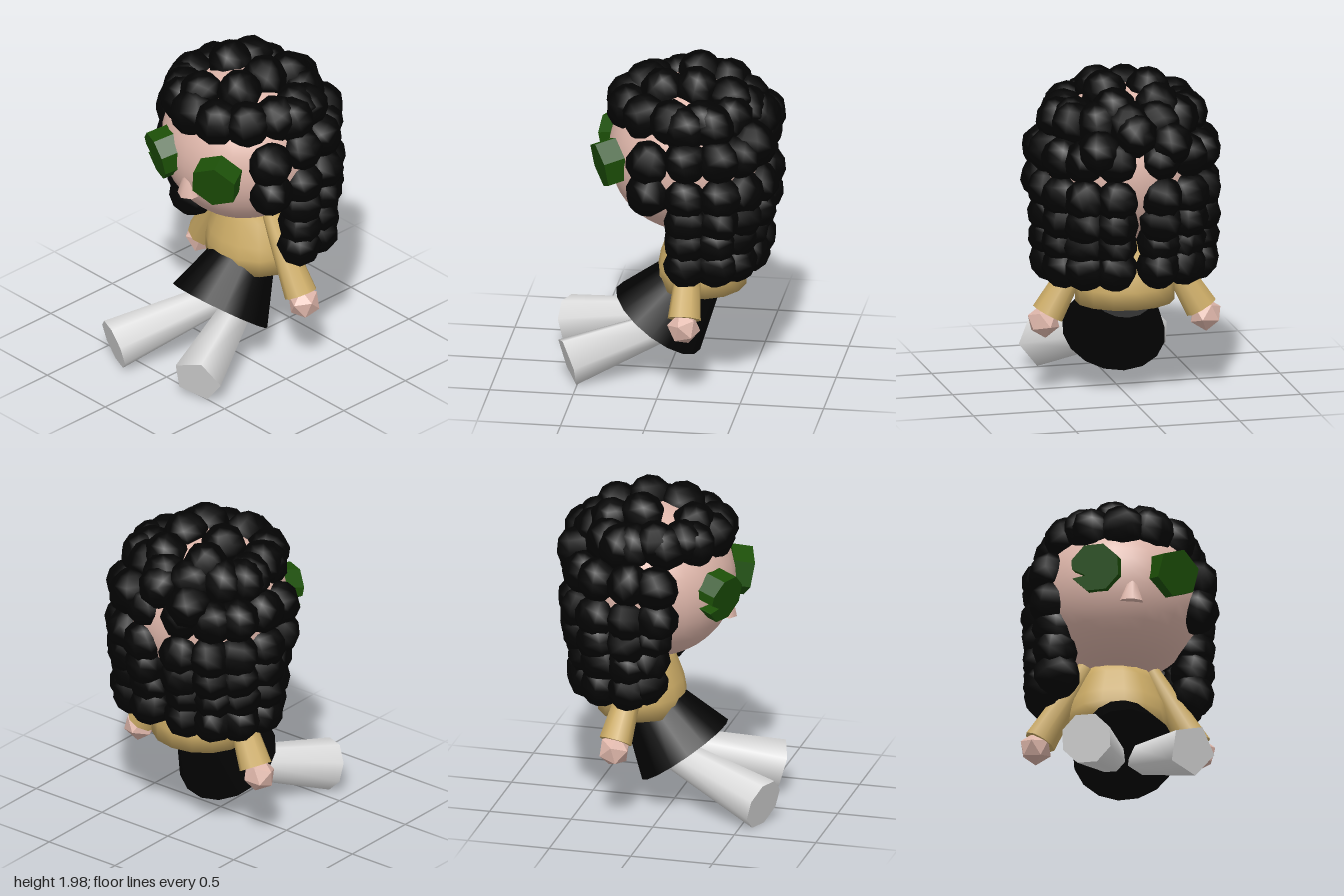
import * as THREE from 'three';

const mat = (name, color) => {
  const m = new THREE.MeshStandardMaterial({ color });
  m.name = name;
  return m;
};

export function createModel() {
  const model = new THREE.Group();
  model.name = 'seatedDoll';
  const skin = mat('skin', 0xdeb6aa);
  const black = mat('black', 0x030303);
  const yellow = mat('shirtYellow', 0xcbab66);
  const green = mat('eyeGreen', 0x1c4f07);
  const white = mat('legWhite', 0xdedede);

  const add = (name, geometry, material, parent = model) => {
    const mesh = new THREE.Mesh(geometry, material);
    mesh.name = name;
    parent.add(mesh);
    return mesh;
  };

  // Tapered limb running from point a to point b
  const limb = (name, a, b, ra, rb, sides, material, start = 0) => {
    const A = new THREE.Vector3(...a), B = new THREE.Vector3(...b);
    const dir = B.clone().sub(A);
    const mesh = add(name, new THREE.CylinderGeometry(rb, ra, dir.length(), sides, 1, false, start), material);
    mesh.position.copy(A).add(B).multiplyScalar(0.5);
    mesh.quaternion.setFromUnitVectors(new THREE.Vector3(0, 1, 0), dir.normalize());
    return mesh;
  };

  // Head
  const head = add('head', new THREE.SphereGeometry(1, 28, 20), skin);
  head.scale.set(0.49, 0.47, 0.48);
  head.position.set(0, 1.41, -0.12);

  // Nose
  const nose = add('nose', new THREE.CylinderGeometry(0.03, 0.078, 0.125, 7), skin);
  nose.position.set(0, 1.28, 0.315);
  nose.rotation.x = 0.15;

  // Button eyes: one octagon with a small notch, one hexagon
  const eye = (name, sides, notch, x, yaw) => {
    const pts = [];
    for (let i = 0; i < sides; i++) {
      const a = Math.PI + 0.4 + (i / sides) * Math.PI * 2;
      pts.push(new THREE.Vector2(Math.cos(a) * 0.15, Math.sin(a) * 0.148));
    }
    if (notch) {
      pts.push(new THREE.Vector2(-0.14, 0.0), new THREE.Vector2(-0.06, -0.045), new THREE.Vector2(-0.13, -0.055));
    }
    const geo = new THREE.ExtrudeGeometry(new THREE.Shape(pts), { depth: 0.13, bevelEnabled: false });
    geo.translate(0, 0, -0.065);
    const mesh = add(name, geo, green);
    mesh.position.set(x, 1.41, 0.32);
    mesh.rotation.set(0.22, yaw, 0, 'YXZ');
  };
  eye('rightEye', 8, true, -0.205, -0.38);
  eye('leftEye', 6, false, 0.245, 0.45);

  // Hair made of round curls
  const hair = new THREE.Group();
  hair.name = 'hair';
  model.add(hair);
  const ball = new THREE.SphereGeometry(1, 8, 6);
  let count = 0;
  const curl = (x, y, z, r = 0.135) => {
    const mesh = add('curl', ball, black, hair);
    mesh.position.set(x, y, z);
    mesh.scale.setScalar(r);
    mesh.rotation.set(0.4 * Math.sin(count), count * 1.3, 0.4 * Math.cos(count * 2));
    count++;
  };

  // Crown curls, set on the top of the head
  [[-0.16, -0.34], [0.11, -0.38], [0.34, -0.31], [0.12, -0.18], [-0.15, -0.16],
    [0.12, 0.02], [-0.36, -0.24], [0.39, -0.15], [-0.08, 0.14], [-0.33, -0.03],
    [-0.25, 0.12], [0.02, -0.54], [-0.19, -0.54], [0.24, -0.53],
  ].forEach(([x, z]) => {
    const d = (x * x + (z + 0.13) ** 2) / 0.25;
    curl(x, 1.42 + 0.455 * Math.sqrt(Math.max(0, 1 - d)), z, 0.138);
  });

  // Fringe ring around the forehead
  for (let i = 0; i < 12; i++) {
    const a = ((i + 0.25) / 12) * Math.PI * 2;
    curl(0.345 * Math.cos(a), 1.72, -0.115 + 0.355 * Math.sin(a), 0.145);
  }

  // Hanging rows around the sides and back: y, columns, x radius, z radius
  [[1.52, 8, 0.45, 0.37], [1.29, 8, 0.455, 0.39], [1.14, 8, 0.45, 0.375],
    [1.0, 8, 0.445, 0.33], [0.855, 8, 0.44, 0.335],
  ].forEach(([y, columns, rx, rz]) => {
    for (let i = 0; i < columns; i++) {
      const a = (i / (columns - 1)) * Math.PI, c = Math.cos(a);
      const x = rx * Math.sign(c) * Math.abs(c) ** 0.8;
      curl(x, y, -0.165 - rz * Math.max(0, Math.sin(a)) ** 0.8);
    }
  });

  // Curls framing the face
  curl(0.425, 1.49, 0.06, 0.14);
  curl(0.43, 1.3, 0.06, 0.14);
  curl(-0.43, 1.5, 0, 0.14);
  curl(-0.43, 1.31, 0, 0.14);
  curl(-0.4, 1.17, -0.04, 0.14);
  curl(-0.4, 1.03, -0.06, 0.14);
  curl(-0.385, 0.89, -0.08, 0.145);

  // Shirt body
  const profile = [[0, 0.98], [0.17, 0.98], [0.2, 0.91], [0.25, 0.77], [0.264, 0.69], [0.262, 0.585], [0, 0.585]]
    .map(([r, y]) => new THREE.Vector2(r, y)).reverse();
  const shirt = add('shirt', new THREE.LatheGeometry(profile, 14), yellow);
  shirt.position.z = -0.2;
  shirt.scale.x = 1.13;

  // Arms and hands
  for (const [side, s, z] of [['left', 1, -0.16], ['right', -1, -0.24]]) {
    limb(side + 'Sleeve', [s * 0.195, 0.98, -0.16], [s * 0.46, 0.52, z], 0.055, 0.1, 9, yellow);
    const hand = add(side + 'Hand', new THREE.IcosahedronGeometry(0.1, 0), skin);
    hand.position.set(s * 0.485, 0.475, z);
    hand.rotation.set(0.3, 0.5, s * 0.5);
  }

  // Skirt, tipped forward over the lap
  limb('skirt', [0, 0.33, 0.065], [0, 0.61, -0.14], 0.31, 0.19, 16, black);

  // Legs stretched out to the front
  limb('rightLeg', [-0.08, 0.33, 0.02], [-0.32, 0.155, 0.63], 0.095, 0.155, 8, white);
  limb('leftLeg', [0.1, 0.33, 0.02], [0.325, 0.16, 0.56], 0.095, 0.155, 5, white, -0.54);

  return model;
}
